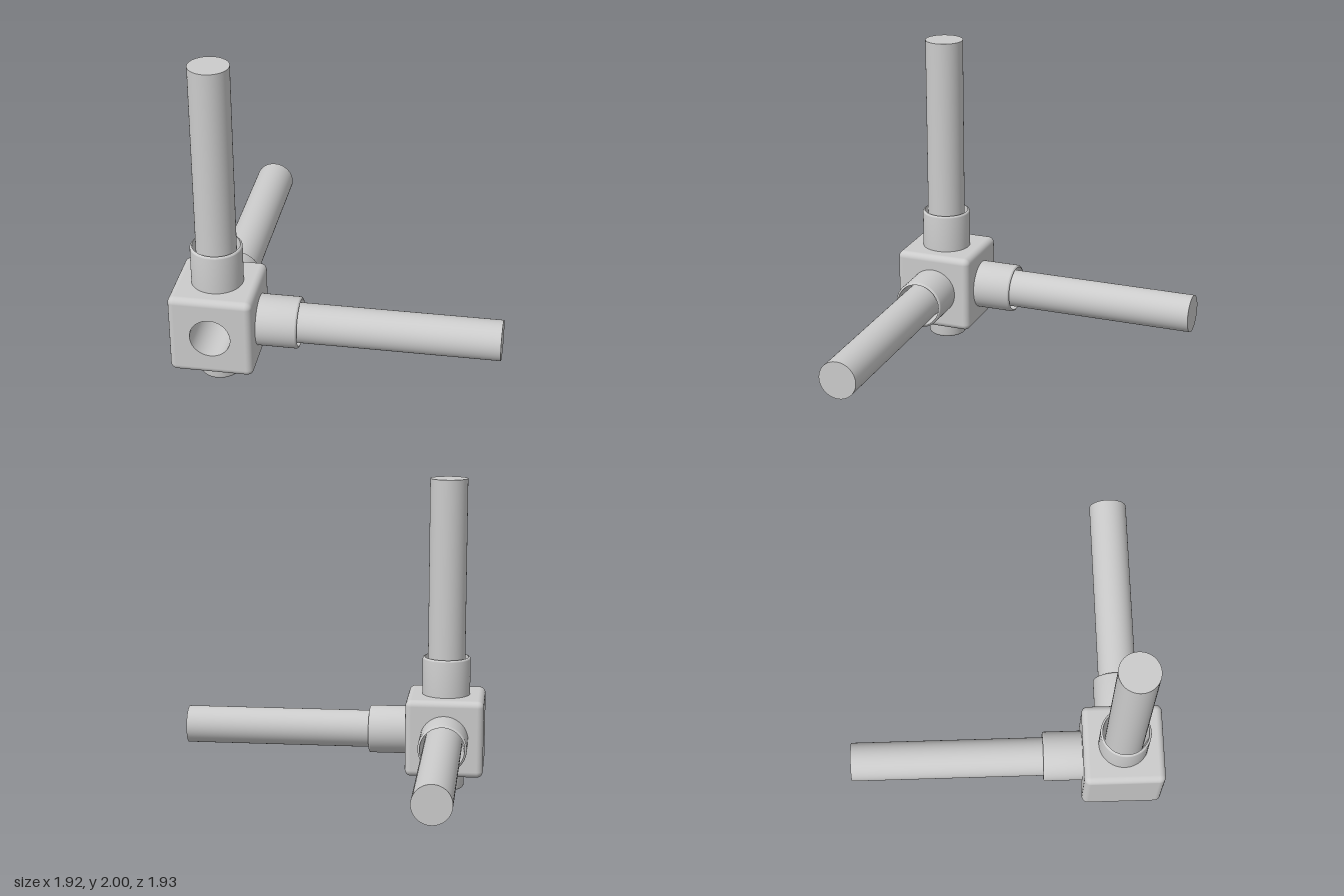
import * as THREE from 'three';
import { RoundedBoxGeometry } from 'three/addons/geometries/RoundedBoxGeometry.js';
import { toCreasedNormals } from 'three/addons/utils/BufferGeometryUtils.js';

const material = new THREE.MeshStandardMaterial({ color: 0xcccccc });
const SIZE = 0.496, HALF = SIZE / 2, FILLET = 0.04;
const ROD = 0.12, COLLAR = 0.153, COLLAR_END = 0.49;
const BORE_DEPTH = 0.42, SEGMENTS = 64;

function addMesh(parent, name, geometry, mat = material) {
  const mesh = new THREE.Mesh(geometry, mat);
  mesh.name = name;
  parent.add(mesh);
  return mesh;
}

const lathe = (points) => toCreasedNormals(
  new THREE.LatheGeometry(points.map(([r, y]) => new THREE.Vector2(r, y)), SEGMENTS), 0.6);

// Quarter-round profile points about (r, y)
function arc(r, y, radius, from, to, steps = 4) {
  return Array.from({ length: steps + 1 }, (_, i) => {
    const a = from + (to - from) * i / steps;
    return [r + radius * Math.cos(a), y + radius * Math.sin(a)];
  });
}

// Rounded cube without its flat front, which gets a holed panel instead
function cubeShell() {
  const box = new RoundedBoxGeometry(SIZE, SIZE, SIZE, 4, FILLET);
  const source = box.index ? box.toNonIndexed() : box;
  const p = source.attributes.position, n = source.attributes.normal;
  const positions = [], normals = [];
  for (let i = 0; i < p.count; i += 3) {
    const corners = [i, i + 1, i + 2];
    if (corners.every((k) => p.getZ(k) > HALF - 1e-5)) continue;
    for (const k of corners) {
      positions.push(p.getX(k), p.getY(k), p.getZ(k));
      normals.push(n.getX(k), n.getY(k), n.getZ(k));
    }
  }
  const shell = new THREE.BufferGeometry();
  shell.setAttribute('position', new THREE.Float32BufferAttribute(positions, 3));
  shell.setAttribute('normal', new THREE.Float32BufferAttribute(normals, 3));
  return shell;
}

function createHub() {
  const hub = new THREE.Group();
  hub.name = 'hub';
  addMesh(hub, 'hubBody', cubeShell());

  // Front panel with the round opening
  const s = HALF - FILLET;
  const panel = new THREE.Shape([[-s, -s], [s, -s], [s, s], [-s, s]].map(([x, y]) => new THREE.Vector2(x, y)));
  panel.holes.push(new THREE.Path().absarc(0, 0, ROD, 0, Math.PI * 2, true));
  addMesh(hub, 'hubFront', new THREE.ShapeGeometry(panel, SEGMENTS)).position.z = HALF;

  // Blind bore behind the opening
  const inside = material.clone();
  inside.side = THREE.DoubleSide;
  const bore = addMesh(hub, 'boreWall',
    new THREE.CylinderGeometry(ROD, ROD, BORE_DEPTH, SEGMENTS, 1, true), inside);
  bore.rotation.x = Math.PI / 2;
  bore.position.z = HALF - BORE_DEPTH / 2;
  addMesh(hub, 'boreFloor', new THREE.CircleGeometry(ROD, SEGMENTS)).position.z = HALF - BORE_DEPTH;

  // Round peg under the cube
  addMesh(hub, 'bottomPeg', lathe([
    [0, -0.371], ...arc(ROD - 0.015, -0.356, 0.015, -Math.PI / 2, 0), [ROD, -HALF + 0.02],
  ]));
  return hub;
}

// Flared collar with a rod in it, pointing along +y
function createArm(name, reach) {
  const arm = new THREE.Group();
  arm.name = name;
  addMesh(arm, 'collar', lathe([
    [COLLAR, HALF - 0.01],
    ...arc(COLLAR - 0.013, COLLAR_END - 0.013, 0.013, 0, Math.PI / 2),
    [ROD, HALF + 0.01],
  ]));
  const start = HALF - 0.02;
  addMesh(arm, 'rod', new THREE.CylinderGeometry(ROD - 0.001, ROD - 0.001, reach - start, SEGMENTS))
    .position.y = (reach + start) / 2;
  return arm;
}

export function createModel() {
  const model = new THREE.Group();
  model.name = 'cornerConnector';
  model.add(createHub());

  const upArm = createArm('upArm', 1.629);
  const leftArm = createArm('leftArm', 1.675);
  leftArm.rotation.z = -Math.PI / 2;
  const backArm = createArm('backArm', 1.678);
  backArm.rotation.x = -Math.PI / 2;
  model.add(upArm, leftArm, backArm);

  model.position.set(-0.715, 0.371, 0.715);
  const root = new THREE.Group();
  root.name = 'model';
  root.add(model);
  return root;
}
